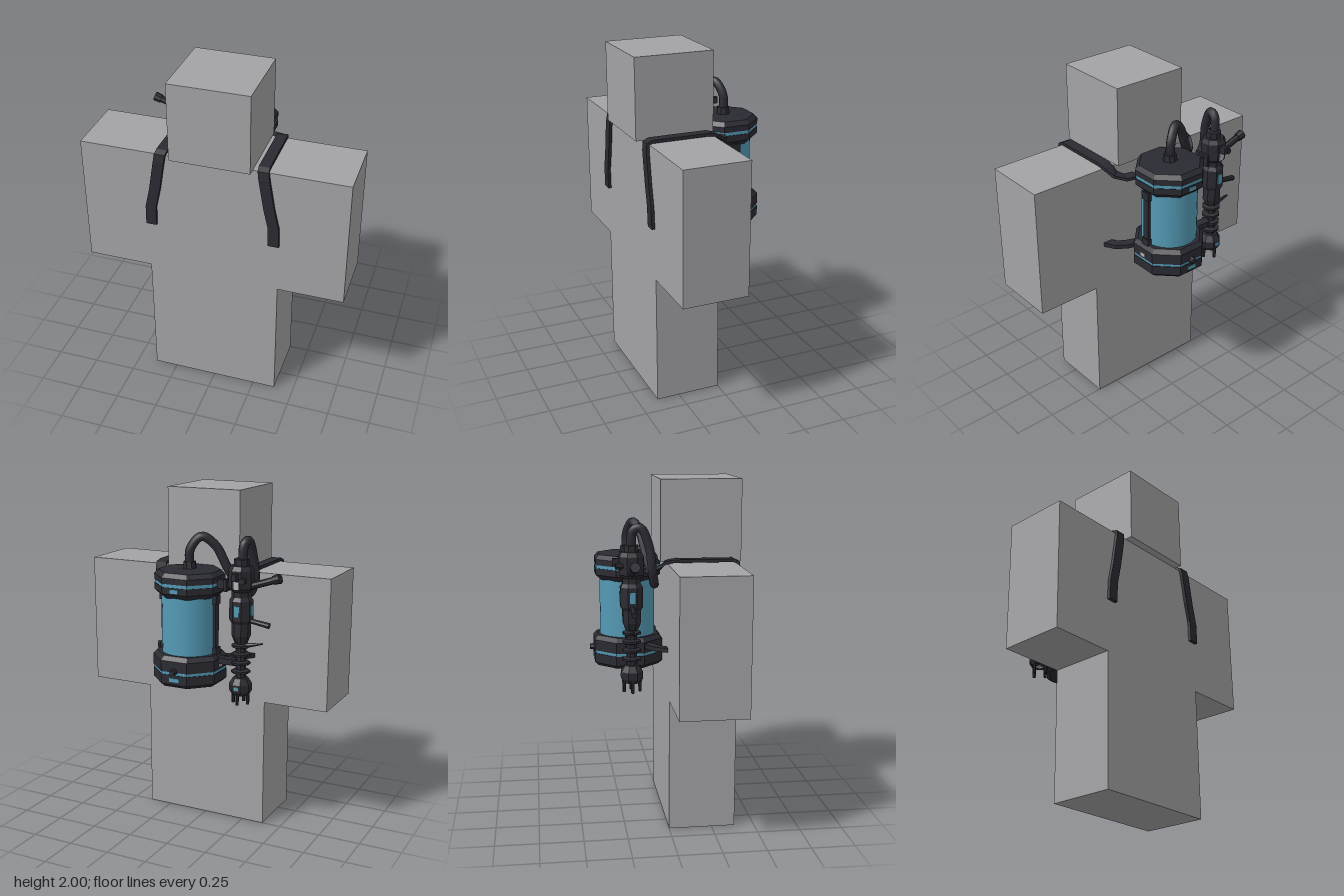
import * as THREE from 'three';

const material = (name, color) => {
  const m = new THREE.MeshStandardMaterial({ color });
  m.name = name;
  return m;
};

export function createModel() {
  const grey = material('bodyGrey', 0xa3a2a5);
  const dark = material('darkMetal', 0x2a2a32);
  const blue = material('glowBlue', 0x549ab5);
  const pale = material('paleGrey', 0xb4b5ba);
  const root = new THREE.Group();
  root.name = 'mannequinWithTank';

  const group = (name, x = 0, y = 0, z = 0) => {
    const g = new THREE.Group();
    g.name = name;
    g.position.set(x, y, z);
    root.add(g);
    return g;
  };
  const add = (parent, name, geo, mat, x = 0, y = 0, z = 0) => {
    const m = new THREE.Mesh(geo, mat);
    m.name = name;
    m.position.set(x, y, z);
    parent.add(m);
    return m;
  };
  const box = (w, h, d) => new THREE.BoxGeometry(w, h, d);
  const flat = (geo) => {
    const g = geo.index ? geo.toNonIndexed() : geo;
    g.computeVertexNormals();
    return g;
  };
  // Faceted octagon from [distance to flat side, height] pairs, bottom to top
  const octagon = (profile) => flat(new THREE.LatheGeometry(
    profile.map(([r, y]) => new THREE.Vector2(r / Math.cos(Math.PI / 8), y)), 8, Math.PI / 8));
  // Cylinder between two points
  const rod = (parent, name, a, b, ra, rb = ra, mat = dark, sides = 8) => {
    const p = new THREE.Vector3(...a), q = new THREE.Vector3(...b);
    const dir = q.clone().sub(p);
    const m = add(parent, name, flat(new THREE.CylinderGeometry(rb, ra, dir.length(), sides)), mat);
    m.position.copy(p).add(q).multiplyScalar(0.5);
    m.quaternion.setFromUnitVectors(new THREE.Vector3(0, 1, 0), dir.normalize());
    return m;
  };
  // Flat band through points [x, y, z, widthX, widthZ], mirrored with side = -1
  const band = (points, width, thick, side) => {
    const p = points.map(([x, y, z]) => new THREE.Vector3(x * side, y, z));
    const rings = points.map(([, , , wx, wz], i) => {
      const t = p[Math.min(i + 1, p.length - 1)].clone().sub(p[Math.max(i - 1, 0)]).normalize();
      const w = new THREE.Vector3(wx * side, 0, wz).normalize();
      const n = t.clone().cross(w).normalize();
      return [[1, 1], [-1, 1], [-1, -1], [1, -1]].map(([a, b]) =>
        p[i].clone().addScaledVector(w, a * width / 2).addScaledVector(n, b * thick / 2));
    });
    const tris = [];
    const quad = (a, b, c, d) => tris.push(a, b, c, a, c, d);
    for (let i = 0; i < rings.length - 1; i++) {
      for (let j = 0; j < 4; j++) {
        const k = (j + 1) % 4;
        quad(rings[i][j], rings[i][k], rings[i + 1][k], rings[i + 1][j]);
      }
    }
    quad(...[...rings[0]].reverse());
    quad(...rings[rings.length - 1]);
    return flat(new THREE.BufferGeometry().setFromPoints(tris));
  };

  // Blocky mannequin
  const body = group('mannequin');
  add(body, 'head', box(0.46, 0.46, 0.46), grey, 0, 1.77, 0.2);
  add(body, 'torso', box(0.77, 0.77, 0.385), grey, 0, 1.155, 0.1925);
  add(body, 'legs', box(0.77, 0.77, 0.385), grey, 0, 0.385, 0.1925);
  for (const s of [1, -1]) add(body, 'arm', box(0.385, 0.77, 0.385), grey, s * 0.5775, 1.155, 0.1925);

  // Back tank with octagonal caps
  const tank = group('tank', 0, 0, -0.2);
  add(tank, 'tankGlass', new THREE.CylinderGeometry(0.16, 0.16, 0.37, 32), blue, 0, 1.255, 0);
  add(tank, 'topCap', octagon([[0, 1.42], [0.155, 1.42], [0.186, 1.45], [0.186, 1.488], [0.178, 1.488],
    [0.178, 1.507], [0.186, 1.507], [0.186, 1.54], [0.165, 1.565], [0, 1.572]]), dark);
  add(tank, 'topStripe', octagon([[0.183, 1.488], [0.183, 1.507]]), blue);
  add(tank, 'bottomCap', octagon([[0, 0.915], [0.175, 0.915], [0.196, 0.935], [0.196, 0.99], [0.186, 0.99],
    [0.186, 1.007], [0.196, 1.007], [0.196, 1.07], [0.175, 1.095], [0, 1.095]]), dark);
  add(tank, 'bottomStripe', octagon([[0.192, 0.99], [0.192, 1.007]]), blue);
  for (const s of [1, -1]) {
    add(tank, 'sideBar', box(0.022, 0.36, 0.04), dark, s * 0.163, 1.255, 0);
    for (const y of [1.105, 1.405]) add(tank, 'barFoot', box(0.03, 0.05, 0.055), dark, s * 0.166, y, 0);
    add(tank, 'sideMark', box(0.006, 0.02, 0.035), pale, s * 0.197, 1.03, 0);
  }
  add(tank, 'topPlate', box(0.05, 0.022, 0.006), blue, 0, 1.468, -0.187);
  add(tank, 'bottomPlate', box(0.06, 0.022, 0.006), blue, 0, 0.962, -0.197);
  rod(tank, 'rearValve', [0, 1.012, -0.18], [0, 1.012, -0.222], 0.022, 0.016);
  rod(tank, 'hoseSocket', [0, 1.56, 0], [0, 1.61, 0], 0.042, 0.036);

  // Shoulder straps and short lower straps
  const straps = group('straps');
  const shoulder = [[0.16, 1.49, -0.1, 0, -1], [0.225, 1.49, -0.085, 0.3, -0.95], [0.27, 1.51, -0.05, 0.75, -0.6],
    [0.288, 1.545, -0.01, 1, -0.15], [0.29, 1.555, 0.03, 1, 0], [0.29, 1.555, 0.37, 1, 0],
    [0.293, 1.545, 0.395, 1, 0], [0.3, 1.5, 0.4, 1, 0], [0.33, 1.32, 0.4, 1, 0],
    [0.357, 1.2, 0.4, 1, 0], [0.36, 1.08, 0.398, 1, 0]];
  const lower = [[0.16, 1.05, -0.1, 0, -1], [0.22, 1.05, -0.08, 0.3, -0.95],
    [0.27, 1.05, -0.045, 0.75, -0.6], [0.295, 1.05, 0.005, 1, -0.1]];
  for (const s of [1, -1]) {
    add(straps, 'shoulderStrap', band(shoulder, 0.062, 0.018, s), dark);
    add(straps, 'lowerStrap', band(lower, 0.055, 0.025, s), dark);
  }

  // Hose looping from the tank to the tool
  const hosePath = new THREE.CatmullRomCurve3([
    [0, 1.58, -0.2], [-0.005, 1.68, -0.2], [-0.06, 1.75, -0.17], [-0.13, 1.7, -0.135], [-0.19, 1.58, -0.11],
    [-0.25, 1.47, -0.08], [-0.31, 1.43, -0.075], [-0.353, 1.5, -0.09], [-0.35, 1.65, -0.11],
    [-0.342, 1.745, -0.155], [-0.335, 1.73, -0.195], [-0.33, 1.62, -0.205],
  ].map((p) => new THREE.Vector3(...p)));
  add(root, 'hose', new THREE.TubeGeometry(hosePath, 72, 0.026, 10), dark);

  // Drill-like tool hanging beside the tank
  const tool = group('tool', -0.325, 0, -0.205);
  add(tool, 'toolBody', octagon([[0, 1.18], [0.035, 1.18], [0.05, 1.22], [0.05, 1.29], [0.062, 1.31],
    [0.062, 1.42], [0.05, 1.44], [0.05, 1.47], [0.068, 1.49], [0.068, 1.59], [0.055, 1.615],
    [0.04, 1.615], [0.04, 1.65], [0, 1.655]]), dark);
  add(tool, 'toolShaft', octagon([[0.028, 0.96], [0.028, 1.2]]), dark);
  for (let i = 0; i < 4; i++) {
    add(tool, 'shaftRing', octagon([[0.026, -0.014], [0.05, -0.006], [0.05, 0.006], [0.026, 0.014]]),
      dark, 0, 1.01 + i * 0.05, 0);
  }
  add(tool, 'toolHead', octagon([[0, 0.875], [0.045, 0.875], [0.06, 0.9], [0.06, 0.94], [0.04, 0.975], [0, 0.985]]), dark);
  add(tool, 'headTip', box(0.035, 0.006, 0.035), pale, 0, 0.873, 0);
  for (let i = 0; i < 4; i++) {
    const a = i * Math.PI / 2;
    const x = 0.045 * Math.cos(a), z = 0.045 * Math.sin(a);
    rod(tool, 'prong', [x, 0.9, z], [x, 0.82, z], 0.011, 0.009, dark, 6);
  }
  // Grips, knobs and brackets
  rod(tool, 'mainGrip', [-0.05, 1.5, 0], [-0.2, 1.55, 0], 0.02);
  rod(tool, 'gripEnd', [-0.19, 1.547, 0], [-0.23, 1.56, 0], 0.025, 0.028);
  rod(tool, 'lowerGrip', [-0.04, 1.31, 0], [-0.17, 1.29, 0], 0.014, 0.017);
  rod(tool, 'lever', [-0.02, 1.16, 0], [-0.13, 1.185, 0], 0.016, 0.006, dark, 6);
  rod(tool, 'sideKnob', [-0.035, 1.54, -0.05], [-0.04, 1.54, -0.09], 0.018);
  add(tool, 'rearSight', box(0.025, 0.04, 0.05), dark, 0.0, 1.56, -0.08);
  add(tool, 'upperBracket', box(0.11, 0.05, 0.04), dark, 0.11, 1.5, 0);
  add(tool, 'bracketPlate', box(0.015, 0.07, 0.09), dark, 0.082, 1.5, 0);
  add(tool, 'lowerBracket', box(0.14, 0.035, 0.05), dark, 0.09, 1.06, 0);
  // Painted plates
  add(tool, 'rearPlate', box(0.03, 0.06, 0.006), blue, 0, 1.365, -0.063);
  add(tool, 'outerPlate', box(0.006, 0.06, 0.03), blue, -0.063, 1.365, 0);
  add(tool, 'labelPlate', box(0.032, 0.045, 0.006), pale, 0, 1.51, -0.069);
  add(tool, 'headPlate', box(0.025, 0.02, 0.006), blue, 0, 0.92, -0.061);
  return root;
}
